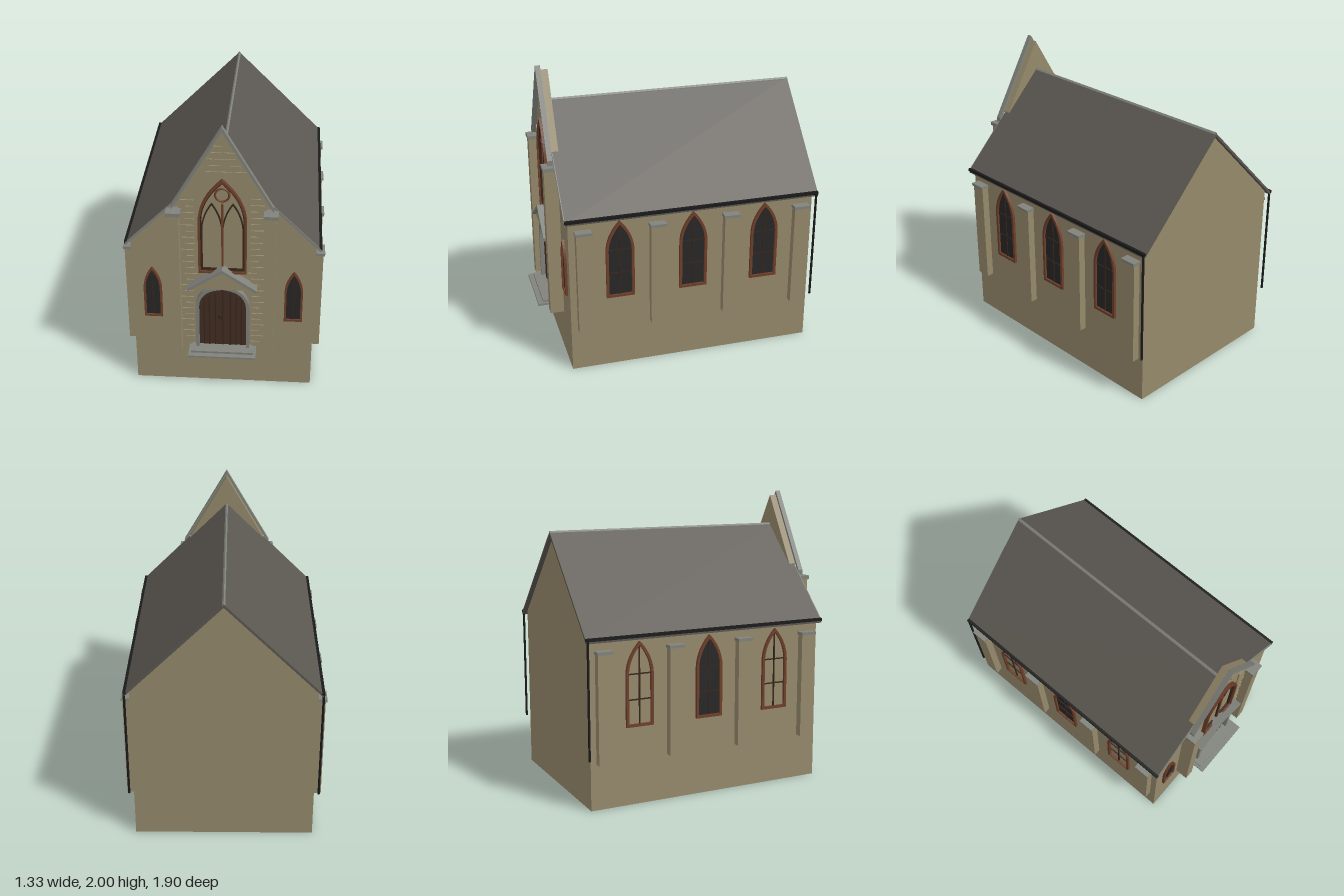
import * as THREE from 'three';

const mat = (name, color) => Object.assign(new THREE.MeshStandardMaterial({ color }), { name });

export function createModel() {
  const wall = mat('sandstone', 0x95896b), slate = mat('roof slate', 0x5b5751);
  const trim = mat('grey stone trim', 0x80827b), frame = mat('window frame brown', 0x6e3f2a);
  const glass = mat('dark glass', 0x272727), wood = mat('door wood', 0x422d23);
  const dark = mat('dark timber', 0x38261b), iron = mat('black iron', 0x1a1a1a);

  const root = new THREE.Group();
  root.name = 'chapel';

  const add = (parent, name, geo, m) => {
    const mesh = new THREE.Mesh(geo, m);
    mesh.name = name;
    parent.add(mesh);
    return mesh;
  };
  // box given by its limits
  const box = (parent, name, m, x0, x1, y0, y1, z0, z1) => {
    const g = new THREE.BoxGeometry(Math.abs(x1 - x0), y1 - y0, z1 - z0);
    g.translate((x0 + x1) / 2, (y0 + y1) / 2, (z0 + z1) / 2);
    return add(parent, name, g, m);
  };
  // outline in x/y extruded from z0 to z1
  const slab = (parent, name, m, shape, z0, z1) => {
    const g = new THREE.ExtrudeGeometry(shape, { depth: z1 - z0, bevelEnabled: false, curveSegments: 10 });
    g.translate(0, 0, z0);
    return add(parent, name, g, m);
  };
  const poly = (pts) => new THREE.Shape(pts.map(([x, y]) => new THREE.Vector2(x, y)));
  // symmetric inverted V with a vertical thickness t
  const chevron = (hw, y0, y1, t) =>
    poly([[-hw, y0], [-hw, y0 - t], [0, y1 - t], [hw, y0 - t], [hw, y0], [0, y1]]);
  // pointed arch outline around cx
  const arch = (cx, hw, y0, spring, y1, C = THREE.Shape) => {
    const s = new C(), k = spring + (y1 - spring) * 0.55;
    s.moveTo(cx - hw, y0);
    s.lineTo(cx + hw, y0);
    s.lineTo(cx + hw, spring);
    s.quadraticCurveTo(cx + hw * 0.95, k, cx, y1);
    s.quadraticCurveTo(cx - hw * 0.95, k, cx - hw, spring);
    s.lineTo(cx - hw, y0);
    return s;
  };
  const archRing = (cx, hw, y0, spring, y1, t) => {
    const s = arch(cx, hw, y0, spring, y1);
    s.holes.push(arch(cx, hw - t, y0 + t, spring, y1 - t * 1.5, THREE.Path));
    return s;
  };

  // main body
  slab(root, 'nave walls', wall,
    poly([[-0.605, 0], [0.605, 0], [0.605, 1.14], [0, 1.745], [-0.605, 1.14]]), -0.92, 0.79);

  // roof
  slab(root, 'roof', slate, chevron(0.635, 1.13, 1.762, 0.022), -0.95, 0.81);
  slab(root, 'front verge', trim, chevron(0.635, 1.13, 1.762, 0.022), 0.81, 0.816);
  slab(root, 'ridge cap', trim, chevron(0.01, 1.756, 1.767, 0.012), -0.95, 0.78);
  for (const s of [-1, 1]) {
    box(root, 'gutter', iron, s * 0.622, s * 0.642, 1.122, 1.142, -0.95, 0.815);
    const pipe = add(root, 'downpipe', new THREE.CylinderGeometry(0.008, 0.008, 0.79, 10), iron);
    pipe.position.set(s * 0.635, 0.74, -0.938);
  }

  // side buttresses
  for (const s of [-1, 1]) for (const z of [0.695, 0.19, -0.325, -0.83]) {
    box(root, 'side buttress', wall, s * 0.6, s * 0.655, 0.31, 1.035, z - 0.05, z + 0.05);
    box(root, 'side buttress cap', trim, s * 0.6, s * 0.665, 1.035, 1.055, z - 0.056, z + 0.056);
  }

  // side windows
  const sideWindow = (glazed) => {
    const w = new THREE.Group();
    w.name = 'side window';
    slab(w, 'window frame', frame, archRing(0, 0.097, 0.53, 0.88, 1.095, 0.018), 0, 0.018);
    if (glazed) slab(w, 'window glass', glass, arch(0, 0.081, 0.546, 0.88, 1.07), 0, 0.004);
    box(w, 'mullion', dark, -0.004, 0.004, 0.545, 1.065, 0, 0.01);
    for (const y of [0.71, 0.88]) box(w, 'glazing bar', dark, -0.08, 0.08, y - 0.004, y + 0.004, 0, 0.009);
    return w;
  };
  for (const s of [-1, 1]) [0.445, -0.065, -0.575].forEach((z, i) => {
    const w = sideWindow(s > 0 || i === 1);
    w.position.set(s * 0.605, 0, z);
    w.rotation.y = s * Math.PI / 2;
    root.add(w);
  });

  // small front windows
  for (const x of [-0.47, 0.47]) {
    slab(root, 'front lancet frame', frame, archRing(x, 0.061, 0.54, 0.77, 0.935, 0.014), 0.79, 0.808);
    slab(root, 'front lancet glass', glass, arch(x, 0.048, 0.553, 0.77, 0.915), 0.79, 0.796);
    box(root, 'front lancet mullion', dark, x - 0.004, x + 0.004, 0.553, 0.905, 0.79, 0.8);
  }

  // raised centre front and its coping
  const F = 0.82;
  slab(root, 'front gable', wall,
    poly([[-0.28, 0.31], [0.28, 0.31], [0.28, 1.49], [0, 1.97], [-0.28, 1.49]]), 0.77, F);
  slab(root, 'gable coping', trim, chevron(0.325, 1.445, 2.0, 0.034), F, 0.855);
  for (const s of [-1, 1]) {
    box(root, 'front buttress', wall, s * 0.275, s * 0.345, 0.31, 1.38, 0.78, 0.885);
    box(root, 'front buttress cap', trim, s * 0.263, s * 0.358, 1.38, 1.405, 0.8, 0.892);
  }

  // great window with tracery
  slab(root, 'great window frame', frame, archRing(0, 0.157, 0.935, 1.33, 1.63, 0.014), F, 0.848);
  slab(root, 'great window inner frame', dark, archRing(0, 0.142, 0.95, 1.33, 1.607, 0.007), F, 0.836);
  for (const s of [-1, 1])
    slab(root, 'tracery lancet', dark, archRing(s * 0.068, 0.07, 0.955, 1.25, 1.455, 0.009), F, 0.832);
  box(root, 'great window mullion', frame, -0.007, 0.007, 0.95, 1.45, F, 0.838);
  add(root, 'tracery roundel', new THREE.TorusGeometry(0.045, 0.007, 8, 28), frame).position.set(0, 1.515, F + 0.008);

  // doorway: stone surround, planked door, ring handle
  const doorArch = (hw, y1, C = THREE.Shape) => {
    const s = new C();
    s.moveTo(-hw, 0.335);
    s.lineTo(hw, 0.335);
    s.lineTo(hw, 0.65);
    s.bezierCurveTo(hw, 0.75, hw * 0.7, y1, 0, y1 + 0.01);
    s.bezierCurveTo(-hw * 0.7, y1, -hw, 0.75, -hw, 0.65);
    s.lineTo(-hw, 0.335);
    return s;
  };
  const surround = doorArch(0.18, 0.83);
  surround.holes.push(doorArch(0.158, 0.805, THREE.Path));
  slab(root, 'door surround', trim, surround, F, 0.862);
  slab(root, 'door', wood, doorArch(0.16, 0.807), F, 0.83);
  for (const x of [-0.125, -0.09, -0.05, 0, 0.05, 0.09, 0.125])
    box(root, 'door plank joint', dark, x - 0.004, x + 0.004, 0.34, 0.8 - Math.abs(x) * 0.6, 0.83, 0.835);
  add(root, 'door handle', new THREE.TorusGeometry(0.012, 0.003, 6, 16), iron).position.set(-0.018, 0.57, 0.838);

  // gabled door hood
  slab(root, 'door hood infill', wall, poly([[-0.2, 0.825], [0.2, 0.825], [0, 0.965]]), F, 0.872);
  slab(root, 'door hood coping', trim, chevron(0.228, 0.835, 0.988, 0.022), F, 0.892);

  // steps
  box(root, 'lower step', trim, -0.228, 0.228, 0.312, 0.327, 0.79, 0.95);
  box(root, 'upper step', trim, -0.21, 0.21, 0.327, 0.342, 0.79, 0.915);

  // raised quoins beside the door and great window
  const widths = [0.085, 0.06, 0.078, 0.05];
  for (const s of [-1, 1]) for (let i = 0; i < 25; i++) {
    const y = 0.335 + i * 0.0465 - (s < 0 ? 0.02 : 0);
    if (y < 0.33) continue;
    const inner = y < 0.82 ? 0.192 : y < 0.95 ? 0.165 + (i % 2) * 0.02 : 0.182;
    const outer = Math.min(inner + widths[(i + (s > 0 ? 1 : 0)) % 4], 0.274);
    box(root, 'quoin', wall, s * inner, s * outer, y, y + 0.041, F, F + 0.01);
  }
  // rough stones high in the gable: [y, x pairs...]
  const rows = [
    [1.64, -0.11, -0.025, -0.015, 0.06, 0.07, 0.155], [1.683, -0.09, -0.01, 0.05, 0.115],
    [1.728, -0.1, -0.06, -0.05, 0.03, 0.04, 0.085], [1.773, -0.07, 0.0, 0.01, 0.095], [1.818, -0.055, 0.0],
  ];
  for (const [y, ...xs] of rows) for (let i = 0; i < xs.length; i += 2)
    box(root, 'gable stone', wall, xs[i], xs[i + 1], y, y + 0.038, F, F + 0.008);

  return root;
}
